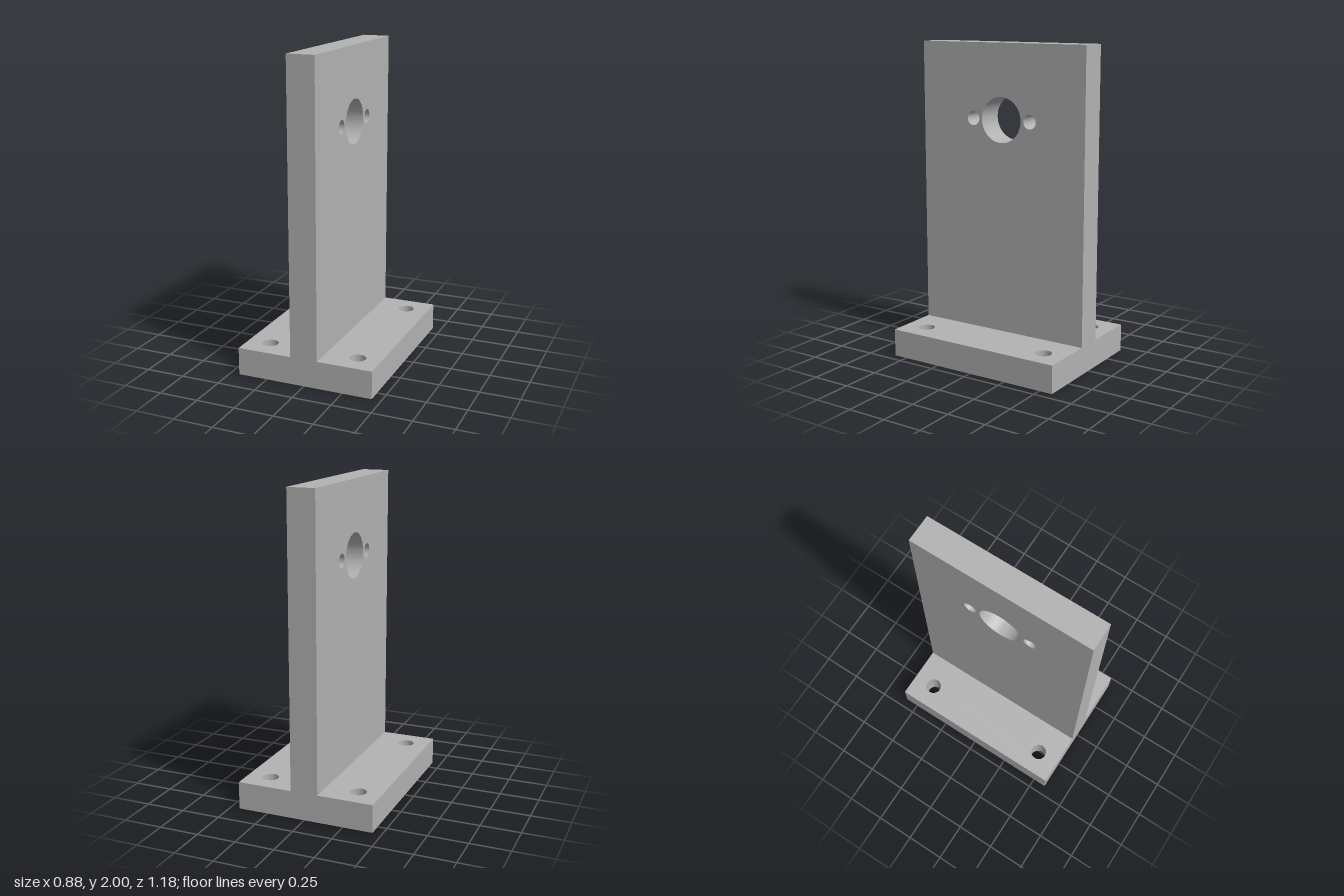
import * as THREE from 'three';
import { toCreasedNormals } from 'three/addons/utils/BufferGeometryUtils.js';

const DEPTH = 1.176, THICK = 0.176, BASE_WIDTH = 0.882, HEIGHT = 2;

// Rectangular plate with round through-holes given as [x, y, radius]
function drilledPlate(x0, y0, x1, y1, holes) {
  const shape = new THREE.Shape([
    new THREE.Vector2(x0, y0), new THREE.Vector2(x1, y0),
    new THREE.Vector2(x1, y1), new THREE.Vector2(x0, y1),
  ]);
  for (const [x, y, r] of holes) {
    shape.holes.push(new THREE.Path().absarc(x, y, r, 0, Math.PI * 2, true));
  }
  const geometry = new THREE.ExtrudeGeometry(shape, {
    depth: THICK, bevelEnabled: false, curveSegments: 48,
  });
  return toCreasedNormals(geometry, 0.6);
}

export function createModel() {
  const group = new THREE.Group();
  group.name = 'mountingBracket';
  const grey = new THREE.MeshStandardMaterial({ color: 0xb2b2b2 });
  grey.name = 'grey';

  // Base plate with four bolt holes
  const boltHoles = [];
  for (const sx of [-1, 1]) {
    for (const sz of [-1, 1]) boltHoles.push([sx * 0.294, sz * 0.441, 0.051]);
  }
  const baseGeometry = drilledPlate(-BASE_WIDTH / 2, -DEPTH / 2, BASE_WIDTH / 2, DEPTH / 2, boltHoles);
  baseGeometry.rotateX(-Math.PI / 2);
  const base = new THREE.Mesh(baseGeometry, grey);
  base.name = 'basePlate';

  // Upright plate with a large bore between two small screw holes
  const wallGeometry = drilledPlate(-DEPTH / 2, THICK, DEPTH / 2, HEIGHT, [
    [0, 1.53, 0.142], [-0.206, 1.53, 0.044], [0.206, 1.53, 0.044],
  ]);
  wallGeometry.translate(0, 0, -THICK / 2).rotateY(Math.PI / 2);
  const wall = new THREE.Mesh(wallGeometry, grey);
  wall.name = 'uprightPlate';

  group.add(base, wall);
  return group;
}
